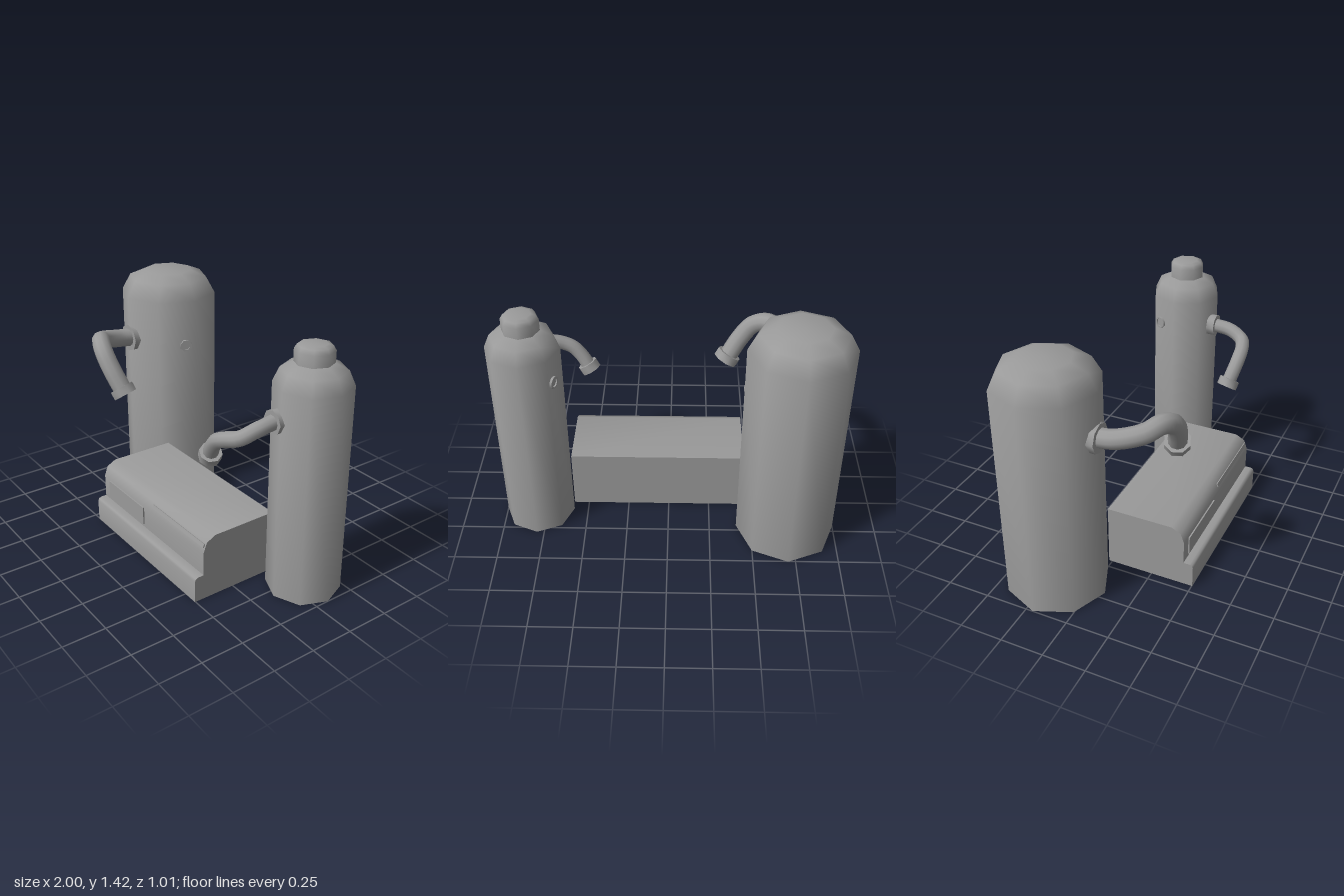
import * as THREE from 'three';
import { toCreasedNormals } from 'three/addons/utils/BufferGeometryUtils.js';

const V3 = (a) => new THREE.Vector3(...a);

export function createModel() {
  const model = new THREE.Group();
  const grey = new THREE.MeshStandardMaterial({ color: 0x9a9a9a });
  grey.name = 'grey';

  const add = (name, geometry, position = [0, 0, 0], parent = model) => {
    const mesh = new THREE.Mesh(toCreasedNormals(geometry, 0.95), grey);
    mesh.name = name;
    mesh.position.set(...position);
    parent.add(mesh);
    return mesh;
  };
  // Eight-sided turned part from [radius, height] pairs
  const turned = (profile) =>
    new THREE.LatheGeometry(profile.map((p) => new THREE.Vector2(...p)), 8);
  // Point a turned part's axis along a direction
  const aim = (mesh, dir) =>
    mesh.quaternion.setFromUnitVectors(new THREE.Vector3(0, 1, 0), dir.clone().normalize());

  // Tanks
  add('largeTank', turned([[0, 0], [0.293, 0], [0.293, 1.285], [0.24, 1.38], [0.148, 1.42], [0, 1.42]]),
    [-0.706, 0, -0.21]);
  add('smallTank', turned([[0, 0], [0.207, 0], [0.207, 1.2], [0.172, 1.278], [0.1, 1.315], [0, 1.315]]),
    [0.793, 0, -0.08]);
  add('smallTankCap', turned([[0, 1.29], [0.104, 1.29], [0.104, 1.378], [0.09, 1.402], [0.065, 1.41], [0, 1.41]]),
    [0.79, 0, -0.08]);

  // Bent pipe with a wall flange and an open nozzle collar
  const pipe = (name, points, radius, flangeRadius, flangeDepth, nozzleRadius) => {
    const group = new THREE.Group();
    group.name = name;
    model.add(group);
    const curve = new THREE.CatmullRomCurve3(points.map(V3));
    add('pipe', new THREE.TubeGeometry(curve, 28, radius, 10), [0, 0, 0], group);

    const flange = add('flange', new THREE.CylinderGeometry(flangeRadius, flangeRadius, flangeDepth, 8),
      points[0], group);
    aim(flange, new THREE.Vector3(0, 0, 1));

    const n = nozzleRadius;
    const nozzle = add('nozzle', turned([[0, -0.025], [n, -0.025], [n, 0.025],
      [n * 0.78, 0.025], [n * 0.78, 0.012], [0, 0.012]]), points[points.length - 1], group);
    aim(nozzle, curve.getTangent(1));
  };
  pipe('largePipe', [[-0.71, 1.03, 0.06], [-0.705, 1.045, 0.17], [-0.65, 1.08, 0.3], [-0.57, 1.105, 0.358],
    [-0.49, 1.07, 0.386], [-0.42, 0.985, 0.38], [-0.345, 0.865, 0.35]], 0.054, 0.084, 0.055, 0.075);
  pipe('smallPipe', [[0.75, 1.03, 0.122], [0.75, 1.015, 0.24], [0.72, 0.98, 0.322], [0.65, 0.955, 0.35],
    [0.58, 0.92, 0.355], [0.525, 0.86, 0.345], [0.487, 0.797, 0.33]], 0.042, 0.066, 0.046, 0.062);

  // Small round side fittings on the tanks
  const fitting = (name, position, dir) =>
    aim(add(name, turned([[0, -0.04], [0.037, -0.04], [0.037, 0.012], [0.026, 0.012], [0.026, 0.004], [0, 0.004]]),
      position), V3(dir));
  fitting('largeTankFitting', [-0.436, 1.01, -0.155], [0.924, 0, 0.383]);
  fitting('smallTankFitting', [0.626, 1.04, -0.18], [-0.924, 0, -0.383]);

  // Console between the tanks: side profile as [z, y], extruded across
  const profile = [[-0.02, 0], [0.503, 0], [0.503, 0.13], [0.497, 0.144], [0.483, 0.15], [0.446, 0.15],
    [0.446, 0.29], [0.425, 0.347], [0.37, 0.375], [-0.02, 0.375]];
  const shape = new THREE.Shape(profile.map(([z, y]) => new THREE.Vector2(-z, y)));
  const body = new THREE.ExtrudeGeometry(shape, { depth: 1.04, bevelEnabled: false });
  body.rotateY(Math.PI / 2);
  add('console', body, [-0.45, 0, 0]);

  // Front panel and slot strip
  add('consolePanel', new THREE.BoxGeometry(0.385, 0.11, 0.009), [-0.1925, 0.225, 0.4495]);
  const slot = add('consoleSlot', new THREE.BoxGeometry(0.495, 0.022, 0.009), [0.3325, 0.325, 0.435]);
  slot.rotation.x = -0.35;

  return model;
}
